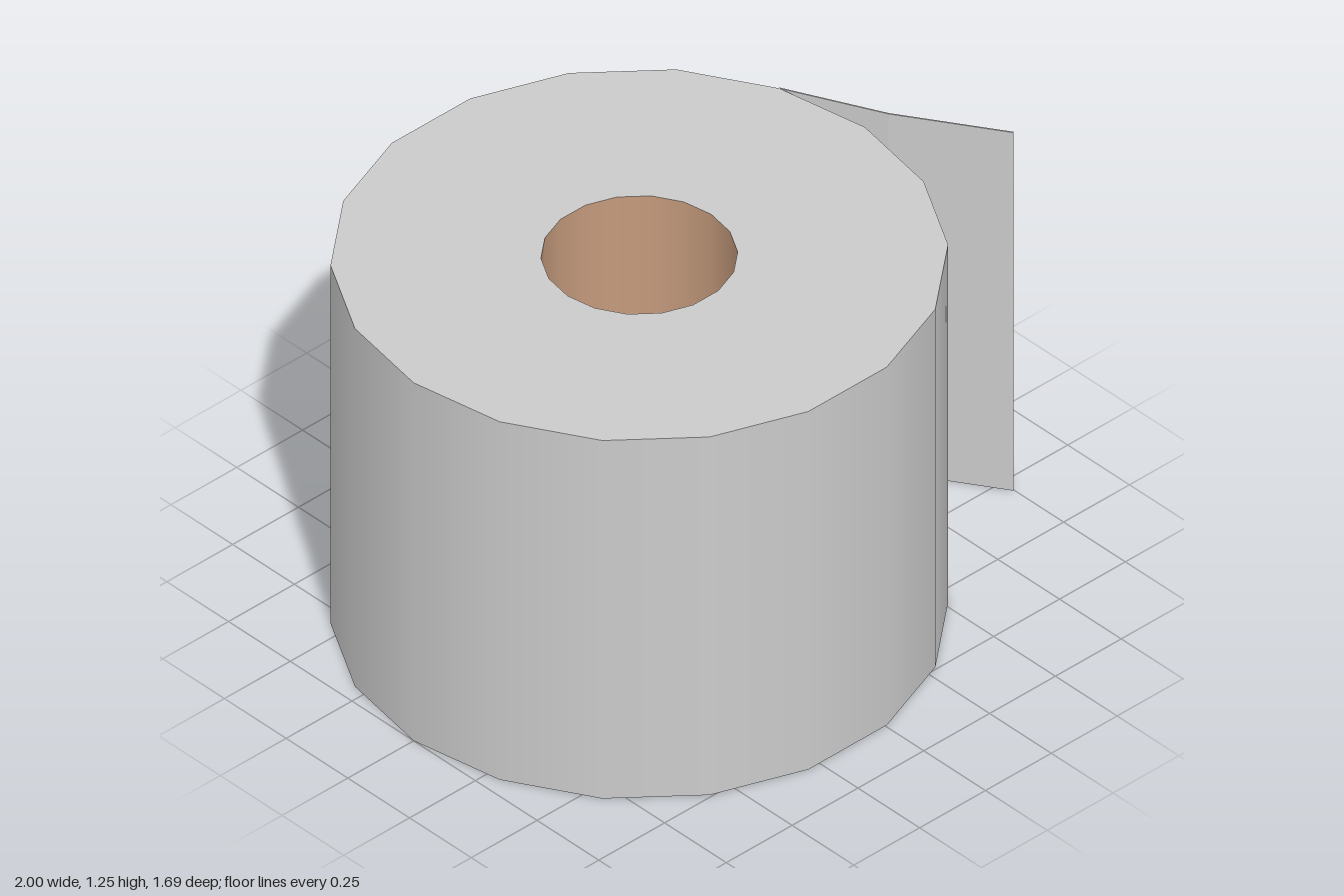
import * as THREE from 'three';

const SIDES = 18, HEIGHT = 1.245, OUTER = 0.857, INNER = 0.273, CENTER_X = -0.143;

export function createModel() {
  const model = new THREE.Group();
  const paper = new THREE.MeshStandardMaterial({ color: 0xcccccc });
  const sheetPaper = new THREE.MeshStandardMaterial({ color: 0xcccccc, side: THREE.DoubleSide });
  const cardboard = new THREE.MeshStandardMaterial({ color: 0xc49a7c, side: THREE.BackSide });

  const add = (name, geometry, material, parent) => {
    const mesh = new THREE.Mesh(geometry, material);
    mesh.name = name;
    parent.add(mesh);
    return mesh;
  };
  const wall = (radius) =>
    new THREE.CylinderGeometry(radius, radius, HEIGHT, SIDES, 1, true, Math.PI / 2);

  // Wound roll with its cardboard core, a vertex pointing along x
  const roll = new THREE.Group();
  roll.name = 'roll';
  roll.position.set(CENTER_X, HEIGHT / 2, 0);
  model.add(roll);
  add('paperSide', wall(OUTER), paper, roll);
  add('cardboardCore', wall(INNER), cardboard, roll);

  // Flat ring faces at both ends
  for (const [name, s] of [['topFace', 1], ['bottomFace', -1]]) {
    const face = add(name, new THREE.RingGeometry(INNER, OUTER, SIDES), paper, roll);
    face.rotation.x = -s * Math.PI / 2;
    face.position.y = s * HEIGHT / 2;
  }

  // Loose end of the paper: a bent sheet leaving the roll, with a little thickness
  const path = [[0.662, -0.293], [0.803, 0], [0.997, 0.3]];
  const t = 0.006;
  const outline = new THREE.Shape([
    ...path.map(([x, z]) => new THREE.Vector2(x, -z)),
    ...path.slice().reverse().map(([x, z]) => new THREE.Vector2(x + t / 2, -z + t / 2)),
  ]);
  const sheet = new THREE.ExtrudeGeometry(outline, { depth: HEIGHT, bevelEnabled: false });
  sheet.rotateX(-Math.PI / 2);
  add('looseSheet', sheet, sheetPaper, model);

  return model;
}
